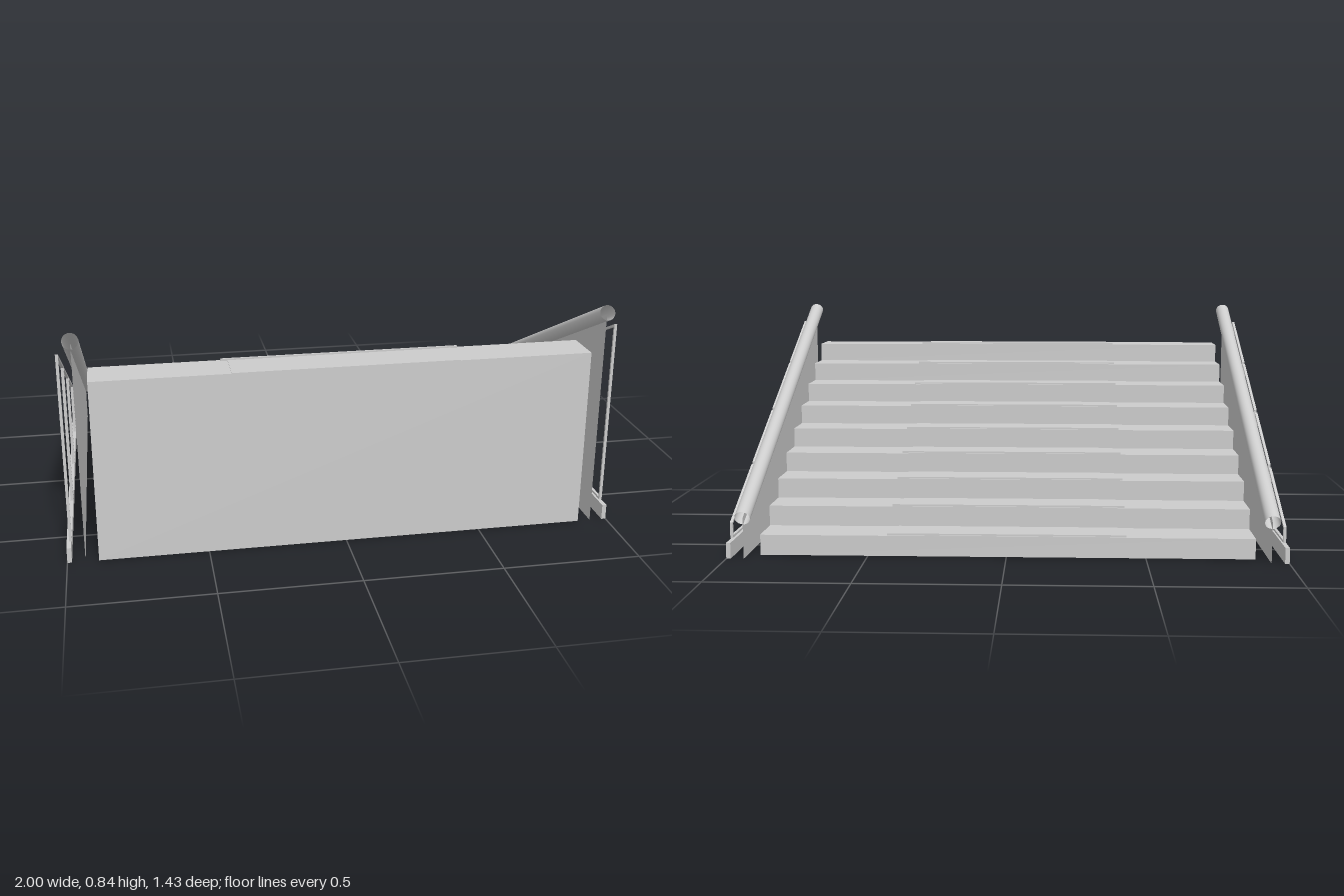
import * as THREE from 'three';

const STEPS = 9, BACK = -0.643, FRONT = 0.7, RISE = 0.67 / STEPS;
const RUN = (FRONT - BACK) / STEPS;

export function createModel() {
  const model = new THREE.Group();
  model.name = 'staircase';
  const grey = new THREE.MeshStandardMaterial({ color: 0xcccccc, side: THREE.DoubleSide });
  grey.name = 'light grey';

  const add = (name, geometry, parent = model) => {
    const mesh = new THREE.Mesh(geometry, grey);
    mesh.name = name;
    parent.add(mesh);
    return mesh;
  };
  const box = (name, w, h, d, x, y, z, parent) =>
    add(name, new THREE.BoxGeometry(w, h, d).translate(x, y, z), parent);
  const polygon = (pts) => pts.map(([z, y]) => new THREE.Vector2(z, y));
  // Extrude a (z, y) outline along x, centred on the given x
  const slab = (shape, width, x) =>
    new THREE.ExtrudeGeometry(shape, { depth: width, bevelEnabled: false })
      .rotateY(-Math.PI / 2).translate(x + width / 2, 0, 0);

  // Solid flight of steps, rising towards the front
  const profile = [[FRONT, 0], [FRONT, 0.67]];
  for (let i = STEPS - 1; i >= 0; i--) {
    const z = BACK + i * RUN;
    profile.push([z, (i + 1) * RISE], [z, i * RISE]);
  }
  add('steps', slab(new THREE.Shape(polygon(profile)), 1.78, 0));

  // Central tread plates with a thin nosing strip on each step
  for (let i = 0; i < STEPS; i++) {
    const y = (i + 1) * RISE, z = BACK + i * RUN;
    box('treadPlate', 0.81, 0.002, RUN, 0, y + 0.001, z + RUN / 2);
    box('nosingStrip', 0.86, 0.009, 0.007, 0, y + 0.0035, z + 0.009);
  }

  // Frame top edge follows the slope of the handrail
  const frameTop = (z) => 0.765 + 0.473 * (z - 0.675);
  const bays = [[-0.675, -0.35], [-0.335, -0.008], [0.008, 0.337], [0.352, 0.675]];
  const bayOutline = ([z0, z1], inset) => polygon([
    [z0 + inset, 0.07 + inset], [z1 - inset, 0.07 + inset],
    [z1 - inset, frameTop(z1 - inset) - inset * 1.1],
    [z0 + inset, frameTop(z0 + inset) - inset * 1.1],
  ]);

  for (const side of [-1, 1]) {
    const balustrade = new THREE.Group();
    balustrade.name = side > 0 ? 'leftBalustrade' : 'rightBalustrade';
    model.add(balustrade);

    // Thin wall under the handrail
    const wall = new THREE.Shape(polygon([[-0.7, 0], [0.7, 0], [0.7, 0.812], [-0.7, 0.148]]));
    add('sideWall', new THREE.ShapeGeometry(wall).rotateY(-Math.PI / 2)
      .translate(side * 0.937, 0, 0), balustrade);

    // Open tubular handrail
    const low = new THREE.Vector3(side * 0.937, 0.149, -0.704);
    const high = new THREE.Vector3(side * 0.937, 0.818, 0.704);
    const rail = add('handrail', new THREE.CylinderGeometry(
      0.028, 0.028, low.distanceTo(high), 24, 1, true), balustrade);
    rail.position.copy(low).lerp(high, 0.5);
    rail.quaternion.setFromUnitVectors(
      new THREE.Vector3(0, 1, 0), high.clone().sub(low).normalize());

    // Slim frames standing off the wall
    for (const bay of bays) {
      const frame = new THREE.Shape(bayOutline(bay, 0));
      frame.holes.push(new THREE.Path(bayOutline(bay, 0.008)));
      add('panelFrame', slab(frame, 0.01, side * 0.985), balustrade);
    }

    // Base trim along the floor
    box('baseTrim', 0.016, 0.057, 1.4, side * 0.992, 0.0285, 0, balustrade);
  }
  return model;
}
